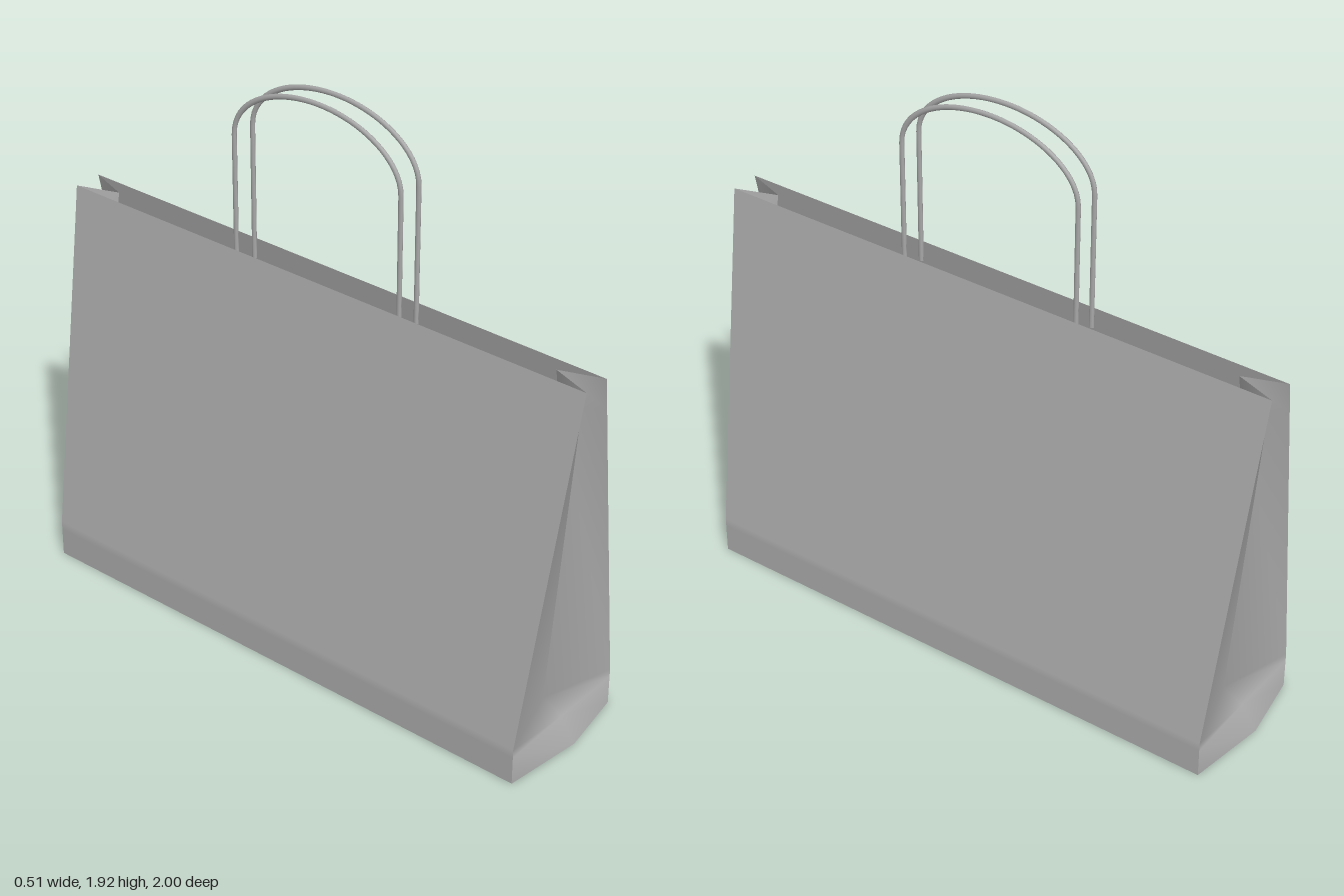
import * as THREE from 'three';

// Smooth surface through a grid of points: columns run right, rows run up, seen from outside
function sheet(rows) {
  const n = rows[0].length, index = [];
  for (let r = 0; r < rows.length - 1; r++) {
    for (let c = 0; c < n - 1; c++) {
      const a = r * n + c, b = a + 1, d = a + n, e = d + 1;
      index.push(a, b, d, b, e, d);
    }
  }
  const g = new THREE.BufferGeometry();
  g.setAttribute('position', new THREE.Float32BufferAttribute(rows.flat(2), 3));
  g.setIndex(index);
  g.computeVertexNormals();
  return g;
}

export function createModel() {
  const bag = new THREE.Group();
  bag.name = 'paperBag';
  const paper = new THREE.MeshStandardMaterial({ color: 0xaaaaaa, side: THREE.DoubleSide });
  paper.name = 'grey paper';

  const add = (name, geometry, turn = 0) => {
    const mesh = new THREE.Mesh(geometry, paper);
    mesh.name = name;
    mesh.rotation.y = turn;
    bag.add(mesh);
    return mesh;
  };

  // Levels: corner height, half width, corner z, fold height, fold z
  const levels = [
    [0, 0.257, 0.95, 0.02, 1.0],
    [0.1, 0.257, 0.95, 0.1, 0.945],
    [0.13, 0.257, 0.95, 0.135, 0.875],
    [1.2, 0.07, 0.995, 1.2, 0.875],
    [1.315, 0.05, 1.0, 1.315, 0.86],
  ];

  // Large sloping walls
  const wall = sheet(levels.map(([y, x, z]) => [[x, y, z], [x, y, -z]]));
  add('leftWall', wall);
  add('rightWall', wall, Math.PI);

  // Folded end gussets, with a flap that pokes out at the bottom
  const gusset = sheet(levels.map(([y, x, z, fy, fz]) => [[-x, y, z], [0, fy, fz], [x, y, z]]));
  add('frontGusset', gusset);
  add('backGusset', gusset, Math.PI);

  // Floor, slightly raised along its middle
  const floorRow = (s) => [[-0.257, 0, 0.95 * s], [0, 0.02, s], [0.257, 0, 0.95 * s]];
  add('floor', sheet([floorRow(-1), floorRow(1)]));

  // Two flattened cord handles: straight legs joined by an elliptical arch
  const path = new THREE.CurvePath();
  const arch = [];
  for (let i = 0; i <= 24; i++) {
    const a = (i / 24) * Math.PI;
    arch.push(new THREE.Vector3(0, 1.71 + 0.197 * Math.sin(a), 0.32 * Math.cos(a)));
  }
  path.add(new THREE.LineCurve3(new THREE.Vector3(0, 1.25, 0.32), arch[0]));
  path.add(new THREE.CatmullRomCurve3(arch));
  path.add(new THREE.LineCurve3(arch[24], new THREE.Vector3(0, 1.25, -0.32)));
  const cord = new THREE.TubeGeometry(path, 80, 0.009, 8);
  cord.scale(0.7, 1, 1);
  for (const [name, x] of [['leftHandle', 0.042], ['rightHandle', -0.042]]) {
    add(name, cord).position.x = x;
  }

  return bag;
}
